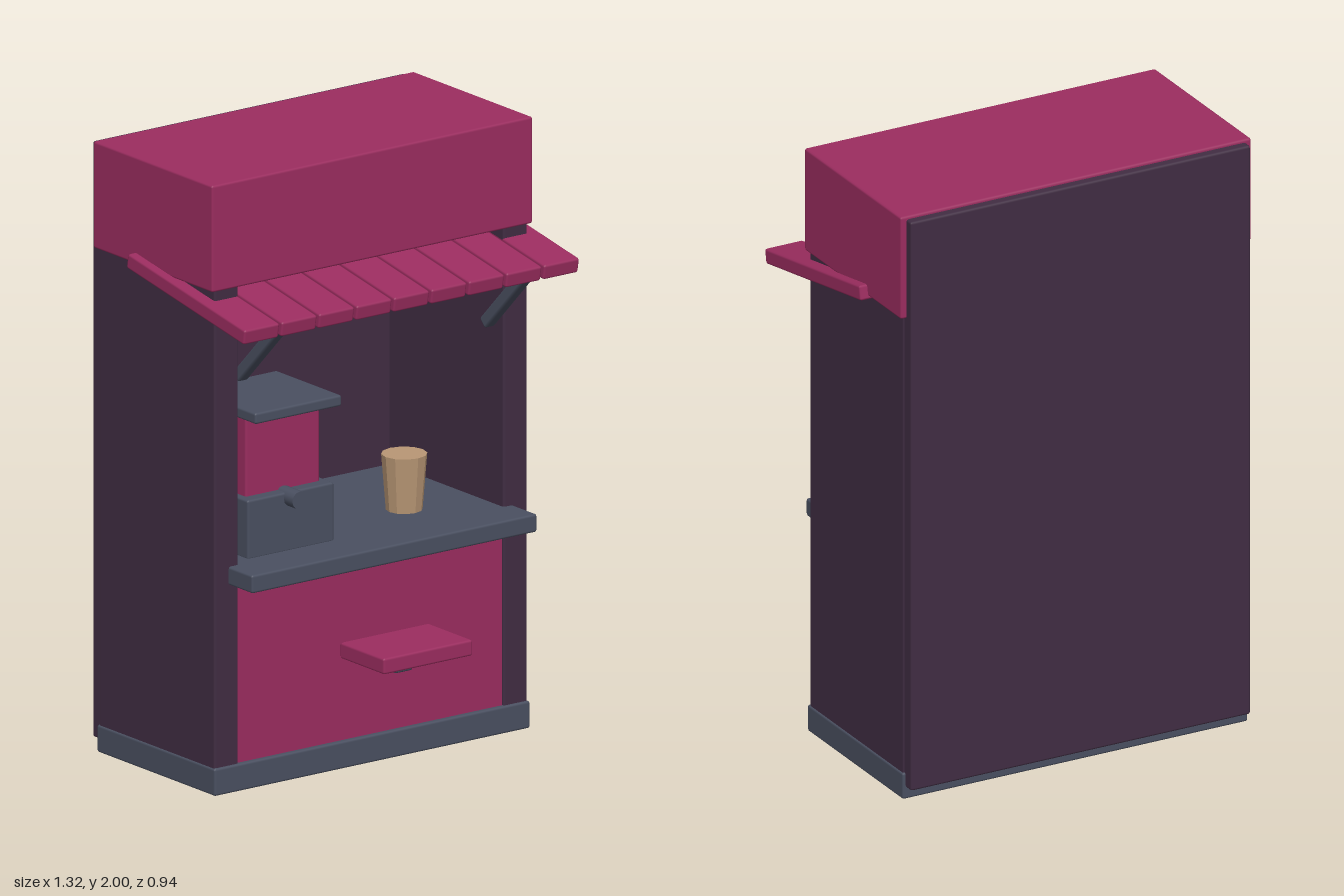
import * as THREE from 'three';
import { RoundedBoxGeometry } from 'three/addons/geometries/RoundedBoxGeometry.js';

const material = (name, color) => {
  const m = new THREE.MeshStandardMaterial({ color });
  m.name = name;
  return m;
};

export function createModel() {
  const magenta = material('magenta paint', 0x9c2d60);
  const plum = material('dark plum', 0x412d43);
  const slate = material('slate metal', 0x4a5061);
  const tan = material('warm tan', 0xb99775);
  tan.flatShading = true;

  const model = new THREE.Group();
  model.name = 'drinkKiosk';

  // Softly bevelled box given by its minimum and maximum on each axis
  function box(name, mat, [x0, x1], [y0, y1], [z0, z1], bevel = 0.008) {
    const geometry = new RoundedBoxGeometry(x1 - x0, y1 - y0, z1 - z0, 1, bevel);
    const mesh = new THREE.Mesh(geometry, mat);
    mesh.name = name;
    mesh.position.set((x0 + x1) / 2, (y0 + y1) / 2, (z0 + z1) / 2);
    model.add(mesh);
    return mesh;
  }

  // Cabinet shell
  box('base', slate, [-0.62, 0.62], [0, 0.09], [-0.435, 0.18]);
  box('leftWall', plum, [0.52, 0.615], [0.08, 1.67], [-0.43, 0.172]);
  box('rightWall', plum, [-0.615, -0.52], [0.08, 1.67], [-0.43, 0.172]);
  box('backPanel', plum, [-0.61, 0.61], [0.04, 1.99], [-0.47, -0.42]);
  box('frontPanel', magenta, [-0.53, 0.53], [0.08, 0.69], [0.1, 0.165]);
  box('header', magenta, [-0.63, 0.63], [1.65, 2], [-0.44, 0.18]);
  box('counter', slate, [-0.56, 0.56], [0.68, 0.74], [-0.425, 0.295]);

  // Sloping awning slats
  for (let i = 0; i < 9; i++) {
    const x = (i - 4) * 0.1472;
    const slat = box('awningSlat', magenta, [x - 0.069, x + 0.069], [1.585, 1.635], [-0.2325, 0.3875]);
    slat.rotation.x = THREE.MathUtils.degToRad(10);
  }

  // Diagonal awning braces and the light strip under the slats
  for (const side of [-1, 1]) {
    const x = side * 0.485;
    const brace = box('awningBrace', slate, [x - 0.02, x + 0.02], [1.435, 1.475], [0.085, 0.385]);
    brace.position.set(x, 1.447, 0.237);
    brace.rotation.x = -Math.PI / 4;
  }
  box('lightStrip', tan, [-0.4, 0.4], [1.528, 1.56], [0.2, 0.34], 0.004);

  // Small serving tray on its bracket
  box('trayBracket', slate, [-0.035, 0.035], [0.335, 0.395], [0.14, 0.345]);
  box('tray', magenta, [-0.175, 0.175], [0.387, 0.44], [0.24, 0.47]);

  // Drink dispenser
  box('dispenserBase', slate, [-0.46, -0.12], [0.735, 0.93], [-0.16, 0.14]);
  box('dispenserBody', magenta, [-0.438, -0.147], [0.92, 1.195], [-0.14, 0.1]);
  box('dispenserCap', slate, [-0.46, -0.12], [1.188, 1.225], [-0.16, 0.18]);
  const spout = new THREE.Mesh(new THREE.CylinderGeometry(0.029, 0.029, 0.1, 12), slate);
  spout.name = 'dispenserSpout';
  spout.rotation.x = Math.PI / 2;
  spout.position.set(-0.29, 0.912, 0.135);
  model.add(spout);

  // Tapered cup
  const cup = new THREE.Mesh(new THREE.CylinderGeometry(0.073, 0.058, 0.185, 12), tan);
  cup.name = 'cup';
  cup.position.set(0.26, 0.83, 0);
  model.add(cup);

  return model;
}
